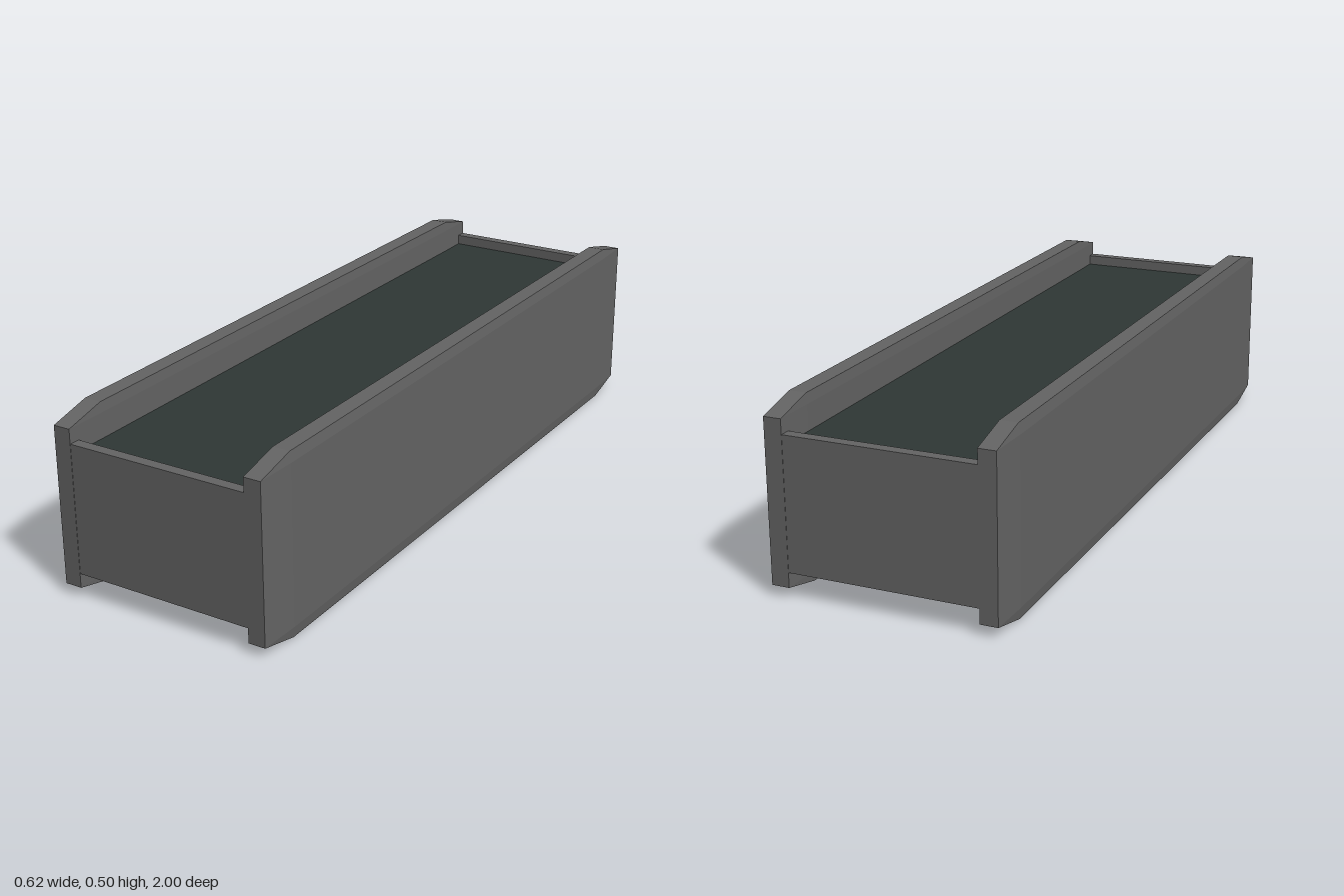
import * as THREE from 'three';

const wallGrey = new THREE.MeshStandardMaterial({ color: 0x646464 });
wallGrey.name = 'wallGrey';
const darkSoil = new THREE.MeshStandardMaterial({ color: 0x2e3735 });
darkSoil.name = 'darkSoil';

// Side wall: cross-sections along z, clipped at the ends and slightly bevelled at the rims
function wallGeometry() {
  const low = 0.03, high = 0.467, top = 0.496;
  const section = (z, yMin, yMax, inner, outer) => [
    [0.257, yMin, z], [0.305, yMin, z], [outer, low, z], [outer, high, z],
    [0.305, yMax, z], [0.257, yMax, z], [inner, high, z], [inner, low, z],
  ];
  const sections = [
    section(-1, low, high, 0.257, 0.305),
    section(-0.88, 0, top, 0.255, 0.309),
    section(0.88, 0, top, 0.255, 0.309),
    section(1, low, high, 0.257, 0.305),
  ];
  const positions = [];
  const quad = (a, b, c, d) => positions.push(...a, ...b, ...c, ...a, ...c, ...d);
  for (let s = 0; s < 3; s++) {
    for (let i = 0; i < 8; i++) {
      const j = (i + 1) % 8;
      quad(sections[s][i], sections[s][j], sections[s + 1][j], sections[s + 1][i]);
    }
  }
  // End caps
  const [back, front] = [sections[0], sections[3]];
  quad(front[7], front[2], front[3], front[6]);
  quad(back[2], back[7], back[6], back[3]);
  const geometry = new THREE.BufferGeometry();
  geometry.setAttribute('position', new THREE.Float32BufferAttribute(positions, 3));
  // Orient the loops outward and drop collapsed triangles
  const kept = [];
  const a = new THREE.Vector3(), b = new THREE.Vector3(), c = new THREE.Vector3();
  for (let i = 0; i < positions.length; i += 9) {
    a.fromArray(positions, i);
    b.fromArray(positions, i + 3).sub(a);
    c.fromArray(positions, i + 6).sub(a);
    if (b.cross(c).length() > 1e-8) kept.push(...positions.slice(i, i + 9));
  }
  geometry.setAttribute('position', new THREE.Float32BufferAttribute(kept, 3));
  geometry.computeVertexNormals();
  return geometry;
}

export function createModel() {
  const model = new THREE.Group();
  model.name = 'planterBox';

  const add = (name, geometry, material, x, y, z) => {
    const mesh = new THREE.Mesh(geometry, material);
    mesh.name = name;
    mesh.position.set(x, y, z);
    model.add(mesh);
    return mesh;
  };

  // Long side walls; the right one is the left turned half way round
  add('leftWall', wallGeometry(), wallGrey, 0, 0, 0);
  add('rightWall', wallGeometry(), wallGrey, 0, 0, 0).rotation.y = Math.PI;

  // End panels between the walls
  for (const [name, side] of [['frontPanel', 1], ['backPanel', -1]]) {
    add(name, new THREE.BoxGeometry(0.514, 0.357, 0.03), wallGrey, 0, 0.2485, side * 0.984);
  }

  // Soil sheet just below the rim; the box is open underneath
  add('soil', new THREE.BoxGeometry(0.514, 0.01, 1.94), darkSoil, 0, 0.393, 0);
  return model;
}
